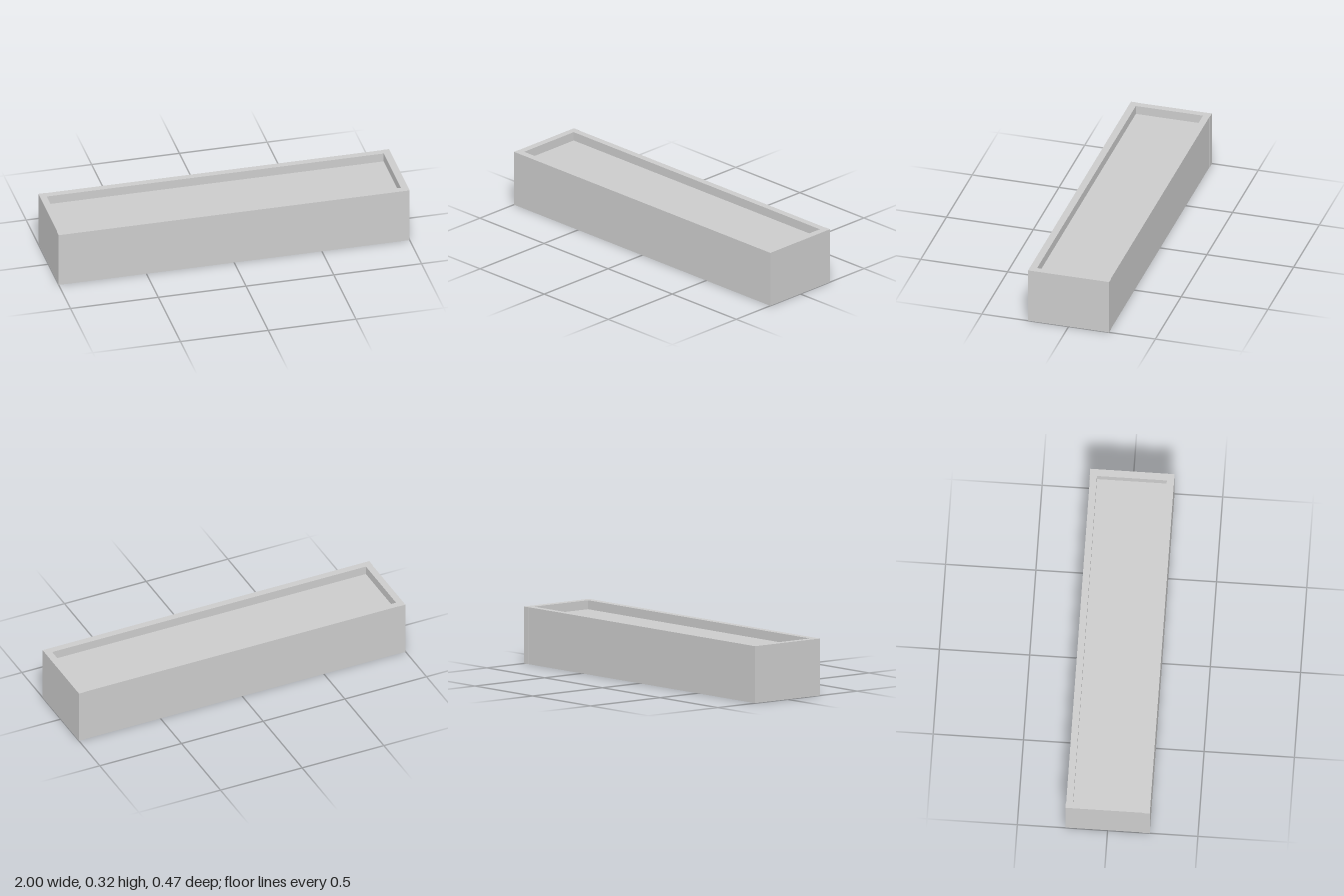
import * as THREE from 'three';

const LENGTH = 2, HEIGHT = 0.318, DEPTH = 0.467;
const WALL = 0.04;     // wall thickness
const FLOOR = 0.268;   // height of the recessed top surface
const STEP = 0.002;    // tiny setback of the back and one end panel

export function createModel() {
  const group = new THREE.Group();
  const material = new THREE.MeshStandardMaterial({ color: 0xcccccc, flatShading: true });

  // Box given by its x and z limits, standing on the ground
  const block = (name, x0, x1, z0, z1, height) => {
    const mesh = new THREE.Mesh(new THREE.BoxGeometry(x1 - x0, height, z1 - z0), material);
    mesh.position.set((x0 + x1) / 2, height / 2, (z0 + z1) / 2);
    mesh.name = name;
    group.add(mesh);
  };

  const x = LENGTH / 2, z = DEPTH / 2;
  const xi = x - WALL, zi = z - WALL;

  // Solid filling whose top is the recessed bed
  block('bed', -xi, xi, -zi, zi, FLOOR);

  // Raised walls around the bed
  block('frontWall', -x, x, zi, z, HEIGHT);
  block('backWall', -xi, xi, -z + STEP, -zi, HEIGHT);
  block('leftEndWall', xi, x, -z, zi, HEIGHT);
  block('rightEndWall', -x + STEP, -xi, -z, zi, HEIGHT);

  return group;
}
